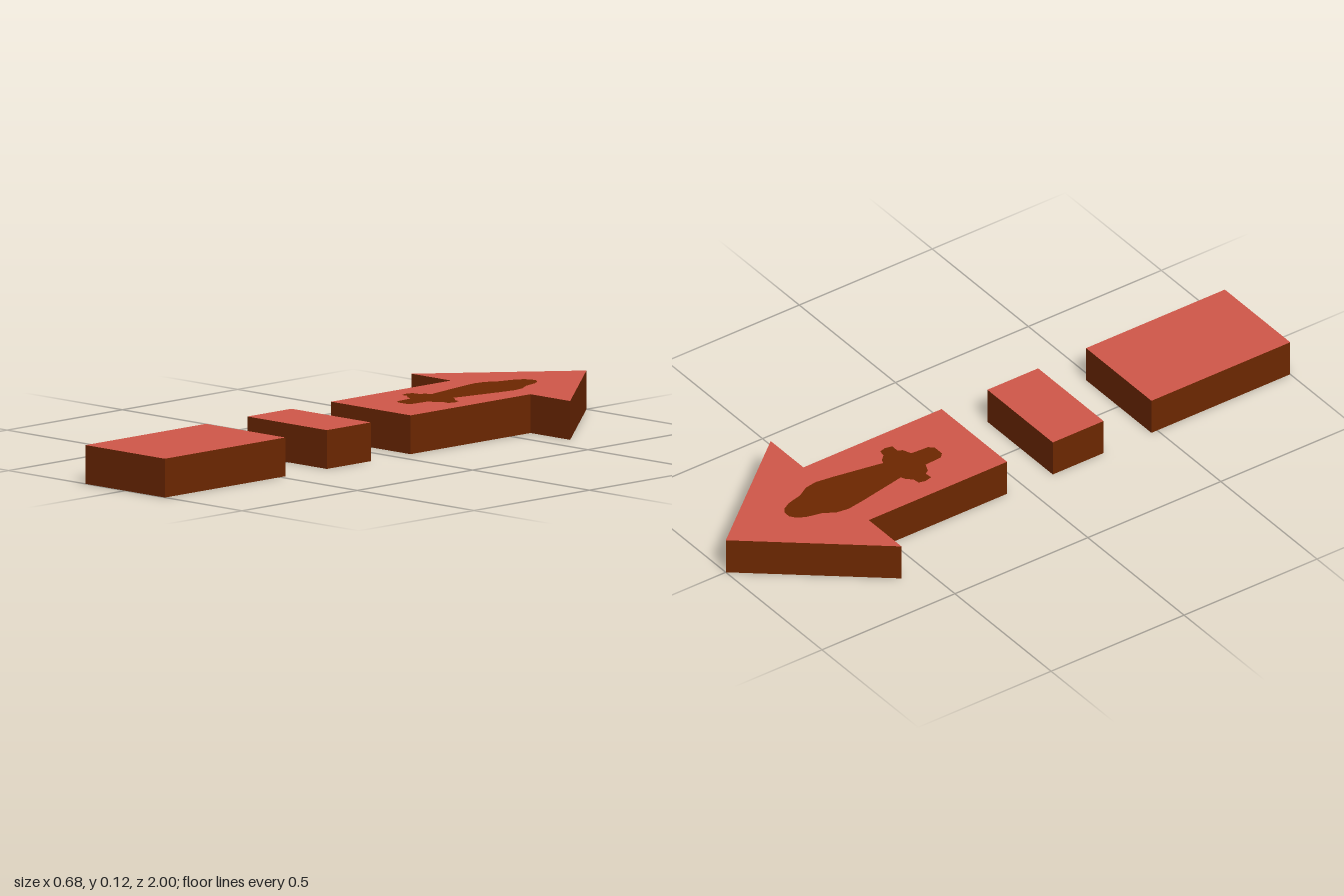
import * as THREE from 'three';

const H = 0.12; // height of every block

export function createModel() {
  const red = new THREE.MeshStandardMaterial({ color: 0xd15749, side: THREE.DoubleSide });
  red.name = 'red top';
  const brown = new THREE.MeshStandardMaterial({ color: 0x6d2700, side: THREE.DoubleSide });
  brown.name = 'brown side';

  const model = new THREE.Group();
  model.name = 'segmentedArrow';

  // Outlines are [x, z]; shapes are drawn with y = -z and laid flat
  const toPoints = (pts) => pts.map(([x, z]) => new THREE.Vector2(x, -z));
  const mirror = (half) => [...half, ...half.slice().reverse().map(([x, z]) => [-x, z])];

  const flat = (name, shape, material) => {
    const geo = new THREE.ShapeGeometry(shape).rotateX(-Math.PI / 2).translate(0, H, 0);
    const mesh = new THREE.Mesh(geo, material);
    mesh.name = name;
    return mesh;
  };

  // Open-bottomed ring of walls, running counter-clockwise seen from above
  const walls = (name, outline) => {
    const pos = [];
    outline.forEach(([x0, z0], i) => {
      const [x1, z1] = outline[(i + 1) % outline.length];
      pos.push(x0, 0, z0, x1, 0, z1, x1, H, z1, x0, 0, z0, x1, H, z1, x0, H, z0);
    });
    const geo = new THREE.BufferGeometry();
    geo.setAttribute('position', new THREE.Float32BufferAttribute(pos, 3));
    geo.computeVertexNormals();
    const mesh = new THREE.Mesh(geo, brown);
    mesh.name = name;
    return mesh;
  };

  const block = (name, outline, hole) => {
    const group = new THREE.Group();
    group.name = name;
    const shape = new THREE.Shape(toPoints(outline));
    if (hole) shape.holes.push(new THREE.Path(toPoints(hole)));
    group.add(flat(name + 'Top', shape, red), walls(name + 'Walls', outline));
    model.add(group);
    return group;
  };

  const rect = (z0, z1) => [[0.17, z1], [0.17, z0], [-0.17, z0], [-0.17, z1]];

  // Dagger emblem: grip, crossguard and leaf-shaped blade
  const dagger = mirror([
    [0.018, -0.2], [0.033, -0.215], [0.037, -0.275], [0.065, -0.287], [0.075, -0.302],
    [0.1, -0.3], [0.106, -0.325], [0.1, -0.347], [0.078, -0.35], [0.062, -0.368],
    [0.046, -0.375], [0.053, -0.41], [0.064, -0.47], [0.077, -0.54], [0.086, -0.6],
    [0.08, -0.64], [0.057, -0.68], [0.045, -0.73], [0.03, -0.757], [0.012, -0.77],
  ]);

  // Arrow head with its inlaid emblem
  const arrow = block('arrowHead', [
    [0.17, -0.065], [0.17, -0.585], [0.34, -0.585], [0, -1],
    [-0.34, -0.585], [-0.17, -0.585], [-0.17, -0.065],
  ], dagger);
  arrow.add(flat('daggerEmblem', new THREE.Shape(toPoints(dagger)), brown));

  // Separate shaft pieces
  block('middleBlock', rect(0.107, 0.298));
  block('tailBlock', rect(0.478, 1));

  return model;
}
